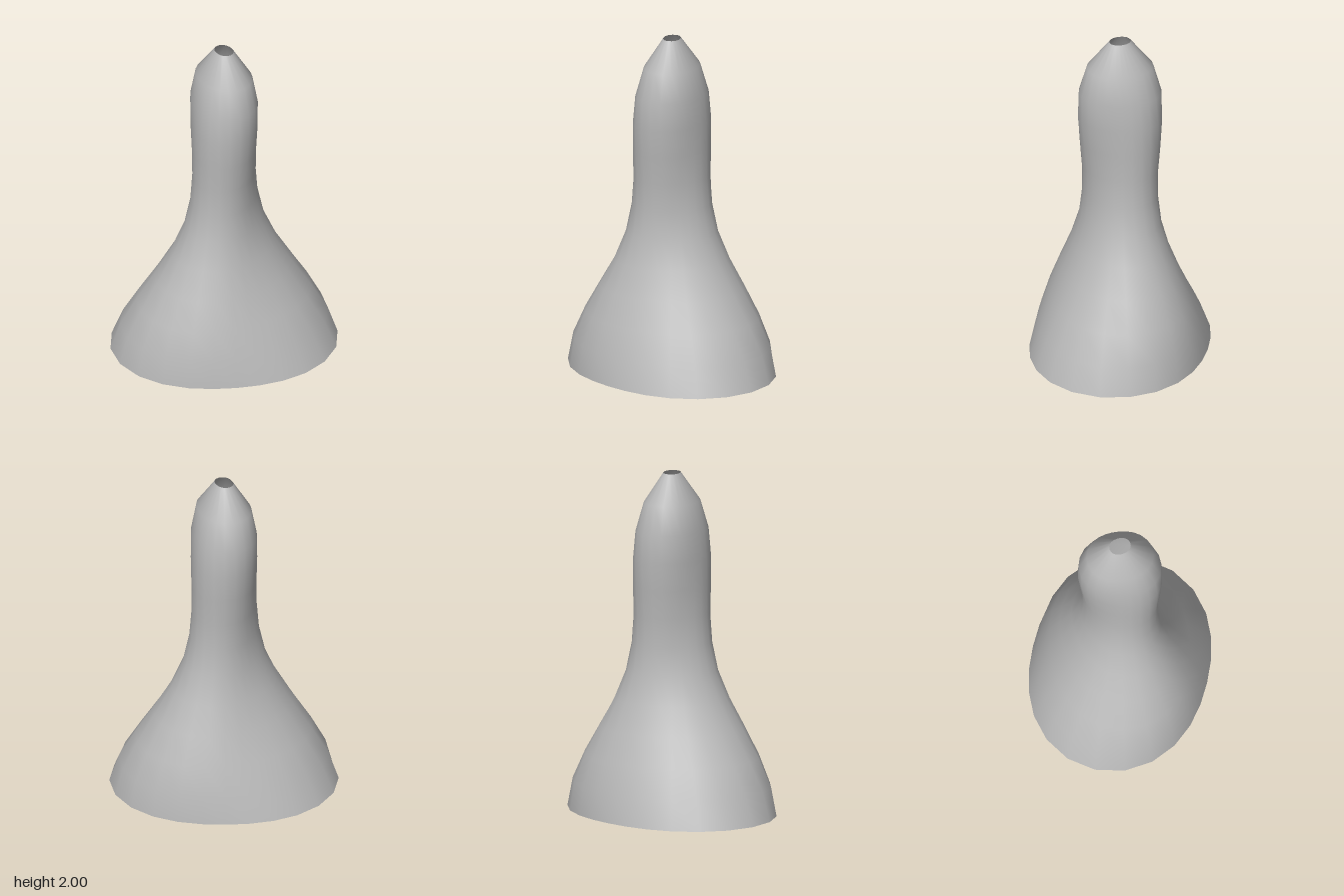
import * as THREE from 'three';
import { mergeVertices } from 'three/addons/utils/BufferGeometryUtils.js';

// mean radius of each ring, evenly spaced from the base to the tip
const RADII = [0.59, 0.543, 0.466, 0.38, 0.2975, 0.2375, 0.21, 0.205, 0.213, 0.22, 0.214, 0.173, 0.0565];
const HEIGHT = 2;
const SEGMENTS = 24;
const OVAL = 0.125; // how far each ring departs from a circle

export function createModel() {
  const group = new THREE.Group();
  const grey = new THREE.MeshStandardMaterial({ color: 0xb8b8b8, side: THREE.DoubleSide });
  grey.name = 'grey';

  // open turned shell
  const profile = RADII.map((r, i) => new THREE.Vector2(r, (HEIGHT * i) / (RADII.length - 1)));
  let geometry = new THREE.LatheGeometry(profile, SEGMENTS);

  // squeeze every ring into an oval whose long axis turns 120 degrees on the way up
  const pos = geometry.attributes.position;
  for (let i = 0; i < pos.count; i++) {
    const x = pos.getX(i), y = pos.getY(i), z = pos.getZ(i);
    const axis = THREE.MathUtils.degToRad(45 - 60 * y);
    const k = 1 + OVAL * Math.cos(2 * (Math.atan2(z, x) - axis));
    pos.setXYZ(i, x * k, y, z * k);
  }

  // weld the seam for continuous smooth shading
  geometry.deleteAttribute('uv');
  geometry.deleteAttribute('normal');
  geometry = mergeVertices(geometry, 1e-4);
  geometry.computeVertexNormals();

  const shell = new THREE.Mesh(geometry, grey);
  shell.name = 'twistedShell';
  group.add(shell);
  return group;
}
